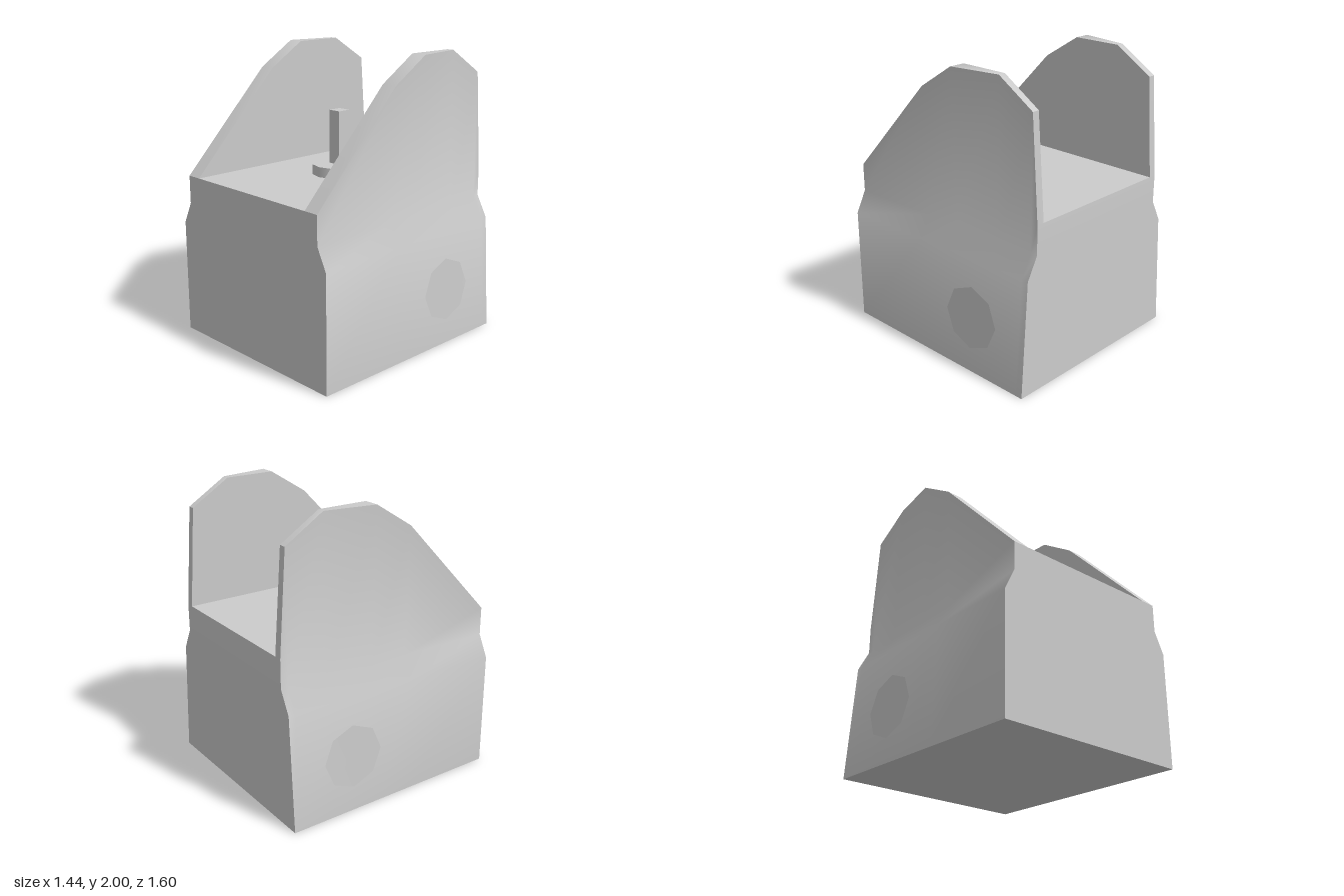
import * as THREE from 'three';
import { toCreasedNormals } from 'three/addons/utils/BufferGeometryUtils.js';

const FLOOR = 1.145, INNER = 0.535;
const lerp = THREE.MathUtils.lerp;

// 0 at the front face, 1 at the back face
const depth = (z) => (0.8 - z) / 1.6;
// half width of the lower body, which tapers towards the upper back corners
const bodyX = (y, z) => 0.72 - 0.05 * (y / 0.8) * depth(z);

// Half cross-section, from the bottom outer corner up and over the cheek wall to the floor
function section(z, top, topX) {
  const half = [
    [0.72, 0], [bodyX(0.8, z), 0.8], [lerp(0.645, 0.59, depth(z)), 0.95],
    [topX, top], [INNER, top], [INNER, FLOOR],
  ];
  const mirrored = half.slice().reverse().map(([x, y]) => [-x, y]);
  return [...half, ...mirrored].map(([x, y]) => new THREE.Vector3(x, y, z));
}

// Body with both cheek walls, lofted from front to back
function bodyGeometry() {
  const sections = [
    [0.8, FLOOR, 0.645], [0.14, 1.83, 0.645], [-0.13, 2, 0.645],
    [-0.48, 2, 0.585], [-0.75, 1.83, 0.585], [-0.8, FLOOR, 0.59],
  ].map((s) => section(...s));
  const points = [];
  const quad = (a, b, c, d) => points.push(a, b, c, a, c, d);

  // skin between neighbouring sections
  for (let s = 0; s < sections.length - 1; s++) {
    const f = sections[s], b = sections[s + 1];
    for (let i = 0; i < 12; i++) {
      const j = (i + 1) % 12;
      quad(f[i], b[i], b[j], f[j]);
    }
  }
  // front and back faces
  const front = sections[0], back = sections[sections.length - 1];
  for (let i = 0; i < 3; i++) {
    quad(front[i], front[i + 1], front[10 - i], front[11 - i]);
    quad(back[i], back[11 - i], back[10 - i], back[i + 1]);
  }
  const geometry = new THREE.BufferGeometry().setFromPoints(points);
  return toCreasedNormals(geometry, 0.6);
}

// Eight-sided plate lying on the side of the body
function sidePlateGeometry(side) {
  const geometry = new THREE.CircleGeometry(0.22, 8);
  const p = geometry.attributes.position;
  for (let i = 0; i < p.count; i++) {
    const y = 0.39 + p.getY(i);
    const z = -0.335 - side * p.getX(i);
    p.setXYZ(i, side * (bodyX(y, z) + 0.004), y, z);
  }
  geometry.computeVertexNormals();
  return geometry;
}

export function createModel() {
  const model = new THREE.Group();
  model.name = 'model';
  const material = new THREE.MeshStandardMaterial({ color: 0xcccccc });
  const add = (name, geometry, y = 0) => {
    const mesh = new THREE.Mesh(geometry, material);
    mesh.name = name;
    mesh.position.y = y;
    model.add(mesh);
  };

  add('bodyWithCheekWalls', bodyGeometry());
  add('leftSidePlate', sidePlateGeometry(1));
  add('rightSidePlate', sidePlateGeometry(-1));

  // Lever standing on a round base in the middle of the floor
  add('leverBase', new THREE.CylinderGeometry(0.19, 0.19, 0.07, 12), FLOOR + 0.035);
  add('lever', new THREE.BoxGeometry(0.095, 0.37, 0.095), 1.4);

  return model;
}
